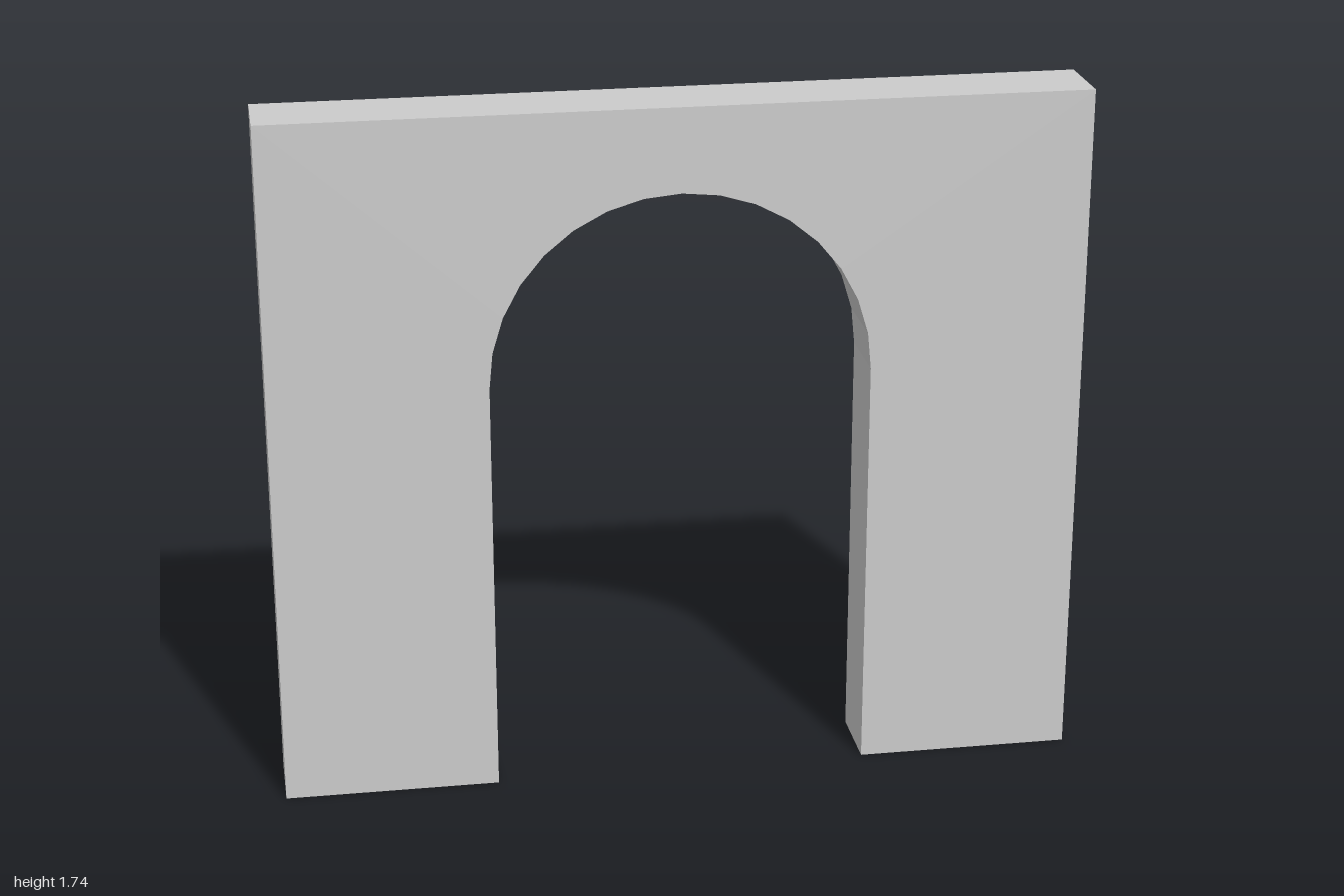
import * as THREE from 'three';

const HALF_WIDTH = 1, HEIGHT = 1.735, DEPTH = 0.19;
const RADIUS = 0.467, SPRING = 1.058; // arch radius and height where the curve starts

export function createModel() {
  const group = new THREE.Group();
  group.name = 'archway';

  // Wall outline with a round-headed opening that reaches the ground
  const outline = new THREE.Shape();
  outline.moveTo(-HALF_WIDTH, 0);
  outline.lineTo(-RADIUS, 0);
  outline.lineTo(-RADIUS, SPRING);
  outline.absarc(0, SPRING, RADIUS, Math.PI, 0, true);
  outline.lineTo(RADIUS, 0);
  outline.lineTo(HALF_WIDTH, 0);
  outline.lineTo(HALF_WIDTH, HEIGHT);
  outline.lineTo(-HALF_WIDTH, HEIGHT);
  outline.closePath();

  // Arcs get twice curveSegments, so the arch has 16 flat facets
  const geometry = new THREE.ExtrudeGeometry(outline, {
    depth: DEPTH, bevelEnabled: false, curveSegments: 8,
  });
  geometry.translate(0, 0, -DEPTH / 2);

  const wall = new THREE.Mesh(
    geometry,
    new THREE.MeshStandardMaterial({ color: 0xcccccc, flatShading: true }),
  );
  wall.name = 'archedWall';
  group.add(wall);
  return group;
}
